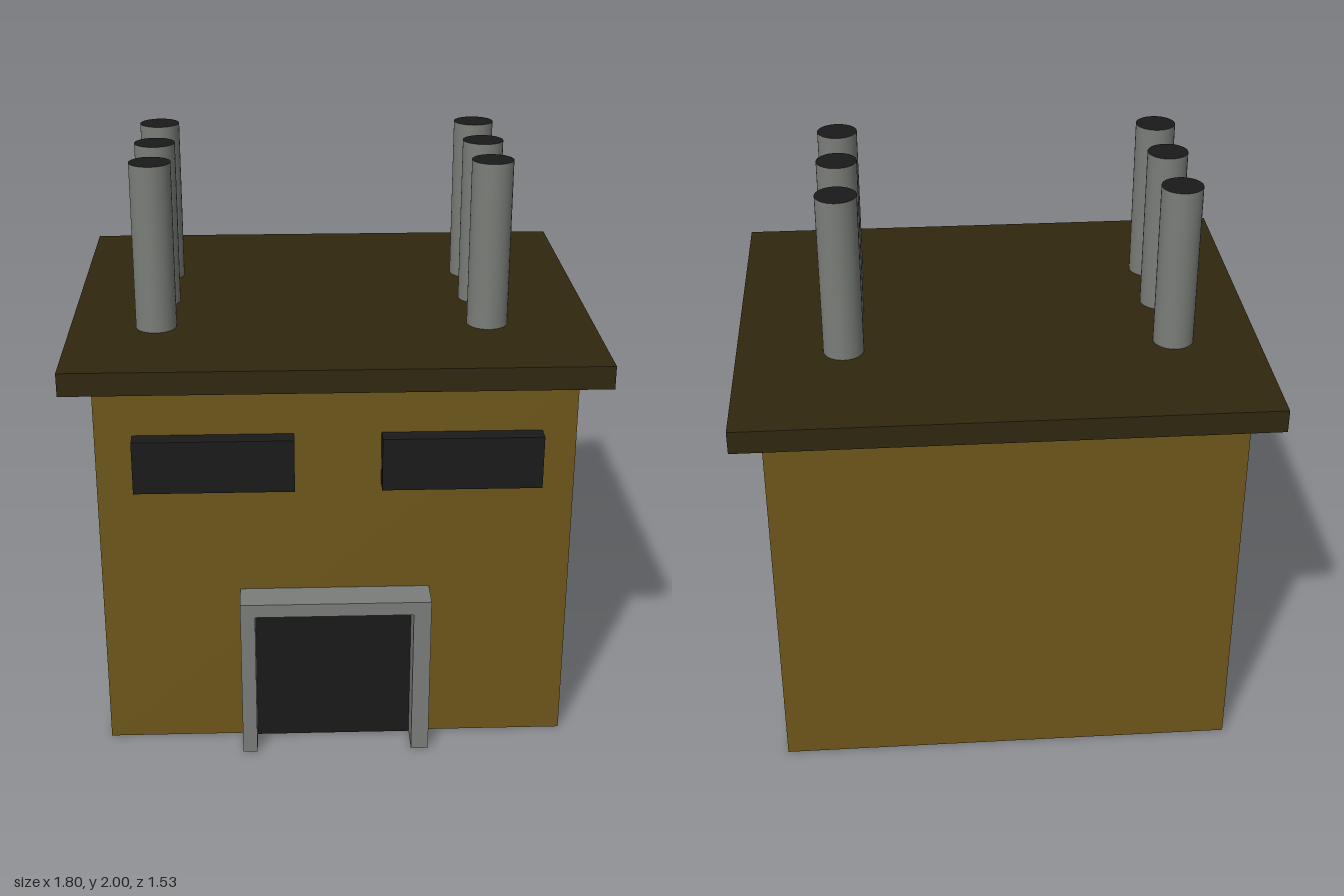
import * as THREE from 'three';

const material = (color, side = THREE.FrontSide) => new THREE.MeshStandardMaterial({ color, side });

export function createModel() {
  const model = new THREE.Group();
  const wallColor = material(0x6f571b, THREE.DoubleSide);
  const roofColor = material(0x30270f);
  const greyColor = material(0x7a7d78);
  const darkColor = material(0x1a1a1a);

  const add = (name, geometry, mat, x = 0, y = 0, z = 0) => {
    const mesh = new THREE.Mesh(geometry, mat);
    mesh.name = name;
    mesh.position.set(x, y, z);
    model.add(mesh);
    return mesh;
  };
  // Box given by its lower and upper limits on each axis
  const box = (name, mat, [x0, x1], [y0, y1], [z0, z1]) =>
    add(name, new THREE.BoxGeometry(x1 - x0, y1 - y0, z1 - z0), mat,
      (x0 + x1) / 2, (y0 + y1) / 2, (z0 + z1) / 2);

  // Hollow building, open underneath: drop the bottom face of the box
  const walls = box('walls', wallColor, [-0.8, 0.8], [0, 1.35], [-0.685, 0.655]);
  const index = Array.from(walls.geometry.index.array);
  index.splice(18, 6);
  walls.geometry.setIndex(index);
  walls.geometry.clearGroups();

  // Overhanging roof slab
  box('roof', roofColor, [-0.9, 0.9], [1.345, 1.425], [-0.765, 0.735]);

  // Windows set through the front wall
  box('rightWindow', darkColor, [-0.675, -0.14], [0.985, 1.17], [0.615, 0.715]);
  box('leftWindow', darkColor, [0.15, 0.685], [0.985, 1.17], [0.615, 0.715]);

  // Door frame: an upside-down U, pushed through the wall
  const frame = new THREE.Shape([
    [-0.33, 0], [-0.28, 0], [-0.28, 0.54], [0.26, 0.54],
    [0.26, 0], [0.32, 0], [0.32, 0.588], [-0.33, 0.588],
  ].map(([x, y]) => new THREE.Vector2(x, y)));
  add('doorFrame', new THREE.ExtrudeGeometry(frame, { depth: 0.165, bevelEnabled: false }),
    greyColor, 0, 0, 0.605);
  box('door', darkColor, [-0.28, 0.26], [0, 0.54], [0.656, 0.664]);

  // Two rows of chimneys with dark mouths
  const pipe = new THREE.CylinderGeometry(0.07, 0.07, 0.6, 32, 1, true);
  const mouth = new THREE.CircleGeometry(0.07, 32).rotateX(-Math.PI / 2);
  const rows = [[-0.605, [-0.262, 0.035, 0.303]], [0.533, [-0.256, 0.035, 0.308]]];
  for (const [x, depths] of rows) {
    for (const z of depths) {
      add('chimney', pipe, greyColor, x, 1.7, z);
      add('chimneyMouth', mouth, darkColor, x, 2, z);
    }
  }
  return model;
}
